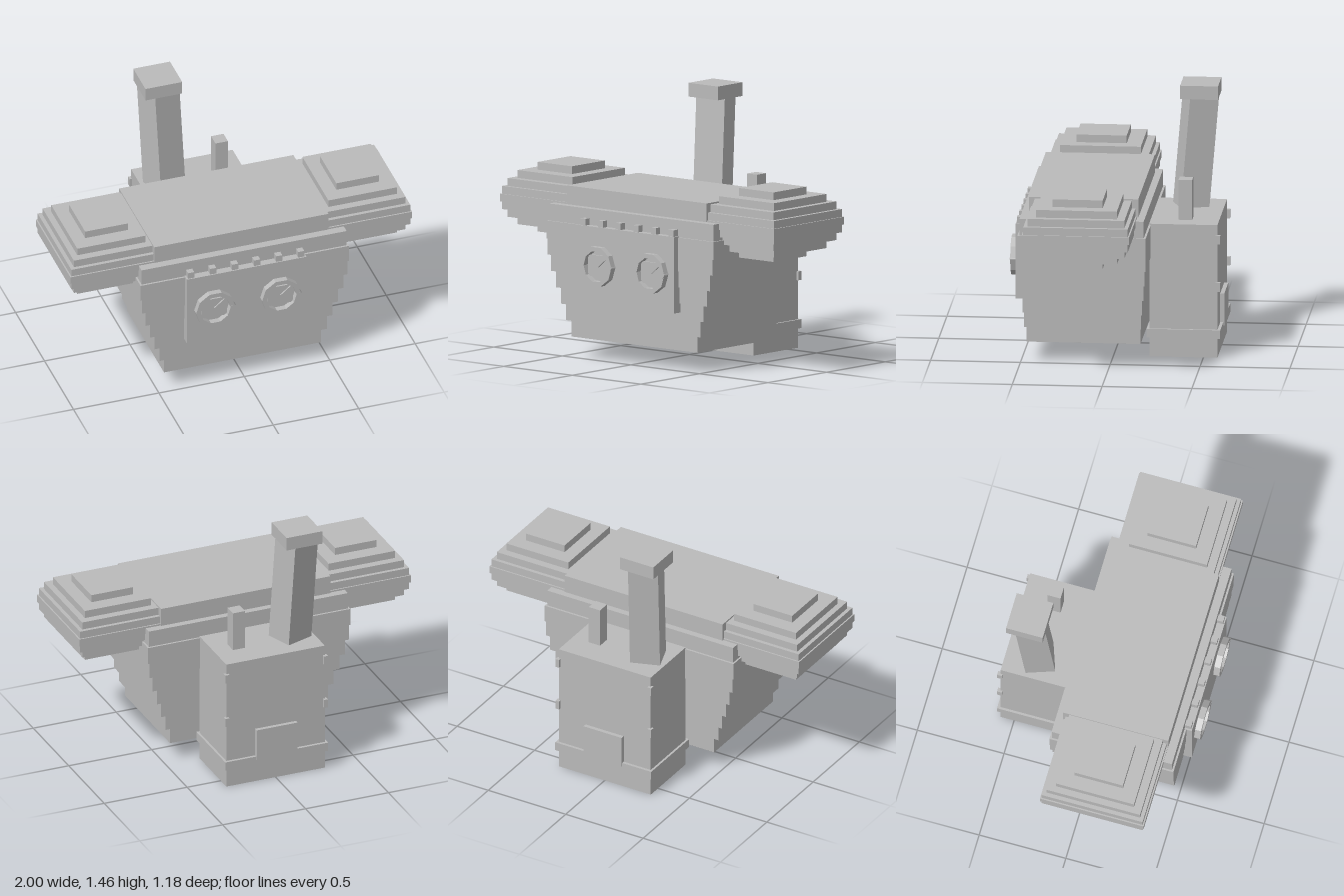
import * as THREE from 'three';

export function createModel() {
  const model = new THREE.Group();
  const grey = new THREE.MeshStandardMaterial({ color: 0xbababa });
  grey.name = 'plain grey';

  const add = (name, geometry, parent = model) => {
    const mesh = new THREE.Mesh(geometry, grey);
    mesh.name = name;
    parent.add(mesh);
    return mesh;
  };
  // Box given by its lower and upper limits on each axis
  const block = (name, x0, x1, y0, y1, z0, z1, parent = model) => {
    const mesh = add(name, new THREE.BoxGeometry(x1 - x0, y1 - y0, z1 - z0), parent);
    mesh.position.set((x0 + x1) / 2, (y0 + y1) / 2, (z0 + z1) / 2);
    return mesh;
  };
  const group = (name) => {
    const g = new THREE.Group();
    g.name = name;
    model.add(g);
    return g;
  };

  // Stepped body: [bottom, top, half width, back z, front z]
  const body = group('body');
  [
    [0.11, 0.20, 0.46, -0.165, 0.47],
    [0.20, 0.29, 0.49, -0.17, 0.48],
    [0.29, 0.38, 0.52, -0.18, 0.487],
    [0.38, 0.47, 0.55, -0.19, 0.495],
    [0.47, 0.56, 0.58, -0.198, 0.502],
    [0.56, 0.65, 0.602, -0.205, 0.506],
    [0.65, 0.75, 0.61, -0.207, 0.508],
    [0.75, 0.845, 0.60, -0.195, 0.497],
    [0.845, 0.95, 0.51, -0.157, 0.45],
  ].forEach(([y0, y1, w, z0, z1]) => block('bodyLayer', -w, w, y0, y1, z0, z1, body));

  // Stepped shoulder pods, symmetrical above and below the middle layer
  const halfX = [0.125, 0.2, 0.235, 0.257, 0.265];
  const halfZ = [0.14, 0.225, 0.27, 0.291, 0.299];
  const step = 0.39 / 9;
  for (const side of [-1, 1]) {
    const pod = group(side > 0 ? 'leftShoulder' : 'rightShoulder');
    for (let i = 0; i < 9; i++) {
      const k = 4 - Math.abs(i - 4);
      const y = 0.638 + i * step;
      const cx = side * 0.735;
      block('shoulderLayer', cx - halfX[k], cx + halfX[k], y, y + step,
        0.149 - halfZ[k], 0.149 + halfZ[k], pod);
    }
  }

  // Front panel with a row of teeth
  block('frontPanel', -0.35, 0.35, 0.327, 0.755, 0.48, 0.54);
  for (let i = 0; i < 6; i++) {
    const x = -0.322 + i * 0.1288;
    block('panelTooth', x - 0.018, x + 0.018, 0.75, 0.792, 0.49, 0.533);
  }

  // Dials: ten-sided ring, recessed face, hand and side marker
  const polygon = (PathClass, r) => {
    const p = new PathClass();
    for (let i = 0; i < 10; i++) {
      const a = (i / 10) * Math.PI * 2;
      p[i ? 'lineTo' : 'moveTo'](r * Math.cos(a), r * Math.sin(a));
    }
    p.closePath();
    return p;
  };
  const ringShape = polygon(THREE.Shape, 0.114);
  ringShape.holes.push(polygon(THREE.Path, 0.088));
  const ringGeo = new THREE.ExtrudeGeometry(ringShape, { depth: 0.035, bevelEnabled: false });
  for (const x of [-0.193, 0.193]) {
    const dial = group(x > 0 ? 'leftDial' : 'rightDial');
    dial.position.set(x, 0.54, 0.54);
    add('dialRing', ringGeo, dial);
    block('dialFace', -0.075, 0.075, -0.06, 0.06, 0, 0.012, dial);
    const hand = block('dialHand', -0.04, 0.04, -0.005, 0.005, 0.012, 0.02, dial);
    hand.position.set(0.032, 0.025, 0.016);
    hand.rotation.z = 0.7;
    const marker = add('dialMarker', new THREE.CylinderGeometry(0.016, 0.016, 0.037, 3), dial);
    marker.rotation.x = Math.PI / 2;
    marker.position.set(0.105, 0, 0.0185);
  }

  // Rear boiler with base, flange, corner blocks and door
  block('boiler', -0.297, 0.297, 0, 0.758, -0.578, -0.2);
  block('boilerFlange', -0.31, 0.31, 0.11, 0.16, -0.595, -0.185);
  block('boilerDoor', -0.123, 0.123, 0.14, 0.325, -0.601, -0.57);
  for (const side of [-1, 1]) {
    for (const y of [0.38, 0.65]) {
      block('cornerBlock', side * 0.297 - 0.012, side * 0.297 + 0.012, y, y + 0.05, -0.595, -0.567);
    }
  }

  // Leaning, twisted chimney with a square cap
  const shaftGeo = new THREE.BoxGeometry(0.17, 0.63, 0.165).rotateY(0.337);
  const p = shaftGeo.attributes.position;
  for (let i = 0; i < p.count; i++) {
    const t = (p.getY(i) + 0.315) / 0.63;
    p.setX(i, p.getX(i) - 0.018 * t);
    p.setZ(i, p.getZ(i) - 0.052 * t);
  }
  shaftGeo.computeVertexNormals();
  add('chimneyShaft', shaftGeo).position.set(-0.167, 1.065, -0.39);
  block('chimneyCap', -0.295, -0.08, 1.378, 1.455, -0.547, -0.336);

  // Small exhaust pipe
  block('exhaustPipe', 0.12, 0.193, 0.74, 0.986, -0.428, -0.352);

  return model;
}
